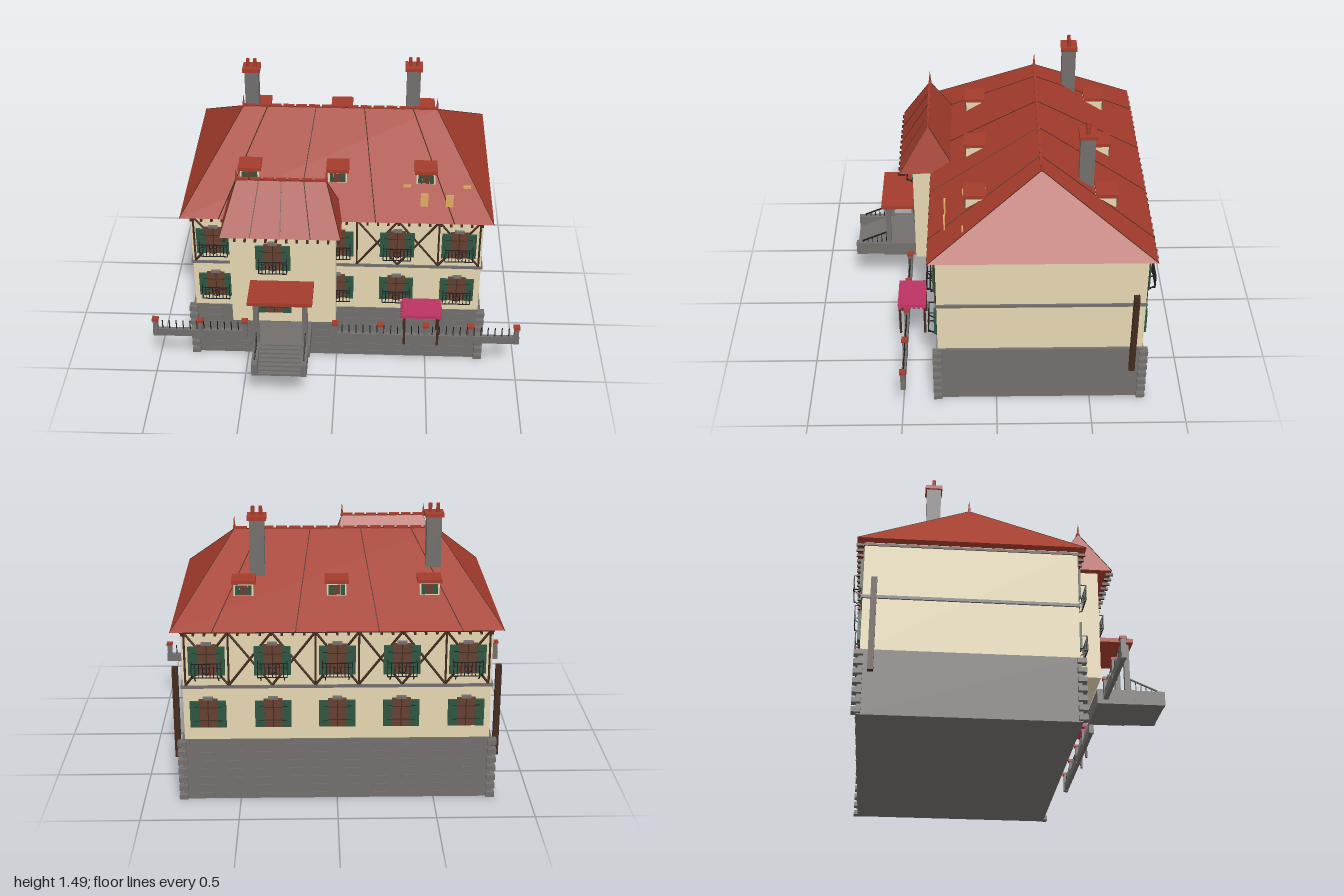
import * as THREE from 'three';

const mat = (name, color) => Object.assign(new THREE.MeshStandardMaterial({ color }), { name });
const M = {
  red: mat('roofRed', 0xa33b2b), tan: mat('plaster', 0xe4d6b1), grey: mat('stone', 0x716e6c),
  brown: mat('darkTimber', 0x432a1d), green: mat('shutterGreen', 0x2f5541), pane: mat('windowBrown', 0x653f30),
  iron: mat('iron', 0x1f1e1e), pink: mat('awningPink', 0xbb3463), ochre: mat('ochre', 0xdfaa64),
};

const add = (parent, name, geo, m, x = 0, y = 0, z = 0) => {
  const mesh = new THREE.Mesh(geo, m);
  mesh.name = name;
  mesh.position.set(x, y, z);
  parent.add(mesh);
  return mesh;
};
// box given by its centre
const box = (p, name, m, w, h, d, x, y, z) => add(p, name, new THREE.BoxGeometry(w, h, d), m, x, y, z);
// box given by its limits
const span = (p, name, m, x0, x1, y0, y1, z0, z1) =>
  box(p, name, m, x1 - x0, y1 - y0, z1 - z0, (x0 + x1) / 2, (y0 + y1) / 2, (z0 + z1) / 2);
// square bar between two points, in the parent's own frame
const Z = new THREE.Vector3(0, 0, 1);
const bar = (p, name, m, a, b, t) => {
  const A = new THREE.Vector3(...a), B = new THREE.Vector3(...b), dir = B.clone().sub(A);
  const mesh = add(p, name, new THREE.BoxGeometry(t, t, dir.length()), m);
  mesh.position.copy(A).add(B).multiplyScalar(0.5);
  mesh.quaternion.setFromUnitVectors(Z, dir.normalize());
};
const group = (p, name, x = 0, y = 0, z = 0) => {
  const g = new THREE.Group();
  g.name = name;
  g.position.set(x, y, z);
  p.add(g);
  return g;
};

// hip roof with seams, hips, ridge caps and finials
function hipRoof(p, name, x0, x1, z0, z1, y0, r0, r1, rz, y1, seams, frontOnly) {
  const g = group(p, name);
  const a = [x0, y0, z1], b = [x1, y0, z1], c = [x1, y0, z0], d = [x0, y0, z0], e = [r0, y1, rz], f = [r1, y1, rz];
  const faces = [a, b, f, a, f, e, b, c, f, c, d, e, c, e, f, d, a, e, a, d, c, a, c, b];
  const geo = new THREE.BufferGeometry();
  geo.setAttribute('position', new THREE.Float32BufferAttribute(faces.flat(), 3));
  geo.computeVertexNormals();
  add(g, 'roofSlopes', geo, M.red);
  const mix = (u, v, t) => u + (v - u) * t;
  for (const t of seams) {
    bar(g, 'roofSeam', M.brown, [mix(x0, x1, t), y0, z1], [mix(r0, r1, t), y1, rz], 0.004);
    if (!frontOnly) bar(g, 'roofSeam', M.brown, [mix(x0, x1, t), y0, z0], [mix(r0, r1, t), y1, rz], 0.004);
  }
  [[a, e], [d, e], [b, f], [c, f]].forEach(([u, v]) => bar(g, 'hipEdge', M.brown, u, v, 0.003));
  const n = Math.round((r1 - r0) / 0.07);
  bar(g, 'ridge', M.brown, e, f, 0.005);
  for (let i = 0; i < n; i++)
    bar(g, 'ridgeCap', M.red, [mix(r0, r1, (i + 0.08) / n), y1 + 0.005, rz], [mix(r0, r1, (i + 0.92) / n), y1 + 0.005, rz], 0.014);
  for (const x of [r0, r1]) add(g, 'finial', new THREE.CylinderGeometry(0.001, 0.008, 0.07, 8), M.red, x, y1 + 0.03, rz);
}

// wrought iron balcony, hung on a wall at z = 0, y = 0 at its floor
function balcony(p, y) {
  const g = group(p, 'balcony', 0, y, 0), w = 0.074, d = 0.047;
  for (const h of [0, 0.075]) {
    bar(g, 'rail', M.iron, [-w, h, d], [w, h, d], 0.004);
    for (const s of [-w, w]) bar(g, 'sideRail', M.iron, [s, h, 0], [s, h, d], 0.004);
  }
  for (let i = 0; i <= 8; i++) {
    const x = -w + (w * i) / 4;
    bar(g, 'baluster', M.iron, [x, 0, d], [x, 0.075, d], 0.004);
  }
  add(g, 'ornament', new THREE.TorusGeometry(0.018, 0.003, 5, 16), M.iron, 0, 0.038, d);
  for (const s of [-w + 0.015, w - 0.015]) bar(g, 'brace', M.iron, [s, 0, d], [s, -0.035, 0], 0.005);
}

// shuttered window on a wall facing +z
function windowUnit(p, x, y, z, h, withBalcony) {
  const g = group(p, 'window', x, y, z);
  box(g, 'pane', M.pane, 0.095, h, 0.012, 0, 0, 0.005);
  box(g, 'mullion', M.brown, 0.005, h, 0.004, 0, 0, 0.011);
  for (const t of [-0.25, 0.2]) box(g, 'transom', M.brown, 0.095, 0.004, 0.004, 0, h * t, 0.011);
  box(g, 'keystone', M.grey, 0.05, 0.014, 0.02, 0, h / 2 + 0.005, 0.006);
  for (const s of [-1, 1]) {
    box(g, 'shutter', M.green, 0.046, h - 0.012, 0.014, s * 0.069, -0.004, 0.01);
    for (const t of [-0.25, 0.25]) box(g, 'hinge', M.iron, 0.024, 0.003, 0.003, s * 0.06, h * t, 0.0165);
  }
  if (withBalcony) balcony(g, -h / 2 + 0.002);
}

// one long facade, wall face at local z = 0.54
function facade(root, name, turn, columns, upperOnly, cells) {
  const g = group(root, name, 0, 0, -0.23), W = 0.54, step = 1.53 / 7;
  g.rotation.y = turn;
  for (const x of columns) {
    windowUnit(g, x, 0.78, W, 0.165, true);
    windowUnit(g, x, 0.488, W, 0.155, !upperOnly);
  }
  // half timbering
  for (const i of cells) {
    const a = -0.765 + i * step, b = a + step, z = W + 0.001;
    bar(g, 'timberBrace', M.brown, [a, 0.64, z], [b, 0.925, z], 0.009);
    bar(g, 'timberBrace', M.brown, [a, 0.925, z], [b, 0.64, z], 0.009);
    for (const k of [i, i + 1]) if ([0, 1, 3, 4, 6, 7].includes(k))
      box(g, 'timberPost', M.brown, 0.01, 0.29, 0.01, -0.765 + k * step, 0.785, z);
  }
  for (let x = -0.77; x < 0.78; x += 0.055) box(g, 'rafterTail', M.brown, 0.012, 0.014, 0.045, x, 0.929, W + 0.02);
  // raised stones on the basement
  for (let r = 0; r < 7; r++)
    for (let c = 0; c < 10; c++)
      box(g, 'raisedStone', M.grey, 0.08, 0.016, 0.006, -0.675 + c * 0.15, 0.025 + r * 0.047, W + 0.006);
  // roof dormers
  for (const x of [-0.47, 0, 0.47]) {
    const d = group(g, 'dormer', x, 0, 0.23);
    span(d, 'dormerBody', M.tan, -0.05, 0.05, 1.03, 1.126, 0.04, 0.155);
    box(d, 'dormerRoof', M.red, 0.122, 0.02, 0.115, 0, 1.135, 0.108);
    box(d, 'dormerPane', M.pane, 0.04, 0.052, 0.006, 0, 1.092, 0.156);
    for (const s of [-1, 1]) box(d, 'dormerShutter', M.green, 0.021, 0.052, 0.008, s * 0.031, 1.092, 0.156);
  }
}

export function createModel() {
  const root = new THREE.Group();
  root.name = 'house';

  // main body
  span(root, 'basement', M.grey, -0.795, 0.795, 0, 0.34, -0.775, 0.315);
  span(root, 'walls', M.tan, -0.78, 0.78, 0.34, 0.94, -0.77, 0.31);
  span(root, 'stringCourse', M.grey, -0.79, 0.79, 0.624, 0.64, -0.777, 0.317);
  span(root, 'eaveBeam', M.brown, -0.785, 0.785, 0.921, 0.935, -0.774, 0.314);
  for (const sx of [-1, 1]) for (const sz of [-1, 1]) for (let r = 0; r < 7; r++)
    box(root, 'quoin', M.grey, 0.045, 0.026, 0.045, sx * 0.795, 0.018 + r * 0.05, -0.23 + sz * 0.545);
  hipRoof(root, 'mainRoof', -0.83, 0.83, -0.808, 0.35, 0.94, -0.53, 0.53, -0.23, 1.3, [0.125, 0.375, 0.625, 0.875]);
  facade(root, 'frontFacade', 0, [-0.66, 0, 0.325, 0.655], false, [0, 4, 5, 6]);
  facade(root, 'backFacade', Math.PI, [-0.655, -0.325, 0, 0.325, 0.655], true, [0, 1, 2, 3, 4, 5, 6]);

  // front wing
  span(root, 'wingWalls', M.tan, -0.56, 0, 0.34, 0.94, 0.28, 0.45);
  hipRoof(root, 'wingRoof', -0.6, 0.03, 0.2, 0.52, 0.94, -0.515, -0.05, 0.36, 1.2, [0.25, 0.5, 0.75], true);
  windowUnit(root, -0.33, 0.78, 0.453, 0.165, true);
  windowUnit(root, -0.33, 0.488, 0.453, 0.155, false);
  for (let x = -0.575; x < 0.02; x += 0.054) box(root, 'wingRafterTail', M.brown, 0.012, 0.014, 0.04, x, 0.929, 0.509);

  // chimneys
  for (const [x, z] of [[-0.5, -0.422], [0.402, -0.465]]) {
    const c = group(root, 'chimney', x, 0, z);
    box(c, 'stack', M.grey, 0.076, 0.4, 0.076, 0, 1.225, 0);
    box(c, 'cap', M.red, 0.098, 0.02, 0.09, 0, 1.433, 0);
    for (const s of [-1, 1]) add(c, 'pot', new THREE.CylinderGeometry(0.01, 0.01, 0.05, 10), M.red, s * 0.02, 1.463, 0);
  }

  // small upright boards on the front roof
  for (const [x, z, top] of [[0.37, 0.17, 1.064], [0.69, 0.17, 1.064], [0.462, 0.263, 1.07], [0.595, 0.263, 1.065]])
    span(root, 'roofBoard', M.ochre, x - 0.02, x + 0.02, 0.99, top, z - 0.004, z + 0.004);

  // downpipes
  for (const s of [-1, 1]) box(root, 'downpipe', M.brown, 0.03, 0.5, 0.03, s * 0.822, 0.468, -0.715);

  // porch with steps
  const porch = group(root, 'porch');
  span(porch, 'landing', M.grey, -0.43, -0.13, 0.255, 0.335, 0.45, 0.645);
  for (let i = 0; i < 7; i++)
    span(porch, 'step', M.grey, -0.42, -0.14, 0.255, 0.327 - i * 0.01, 0.645 + i * 0.0225, 0.6675 + i * 0.0225);
  span(porch, 'canopy', M.red, -0.457, -0.115, 0.595, 0.617, 0.45, 0.645);
  for (const x of [-0.415, -0.155]) {
    box(porch, 'column', M.grey, 0.028, 0.262, 0.028, x, 0.464, 0.612);
    span(porch, 'stepCheek', M.grey, x - 0.016, x + 0.016, 0.255, 0.332, 0.645, 0.805);
    bar(porch, 'handrail', M.iron, [x, 0.405, 0.62], [x, 0.34, 0.77], 0.007);
    for (let i = 0; i < 6; i++) {
      const z = 0.63 + i * 0.027;
      bar(porch, 'handrailPost', M.iron, [x, 0.33, z], [x, 0.4 - i * 0.0115, z], 0.004);
    }
  }

  // garden fence, open in front of the steps
  const fence = group(root, 'fence', 0, 0, 0.485);
  for (const [a, b] of [[-1, -0.48], [-0.015, 1]]) span(fence, 'lowWall', M.grey, a, b, 0.255, 0.3, -0.011, 0.011);
  for (const x of [-0.983, -0.738, -0.495, 0, 0.245, 0.49, 0.735, 0.983]) {
    box(fence, 'fencePost', M.grey, 0.026, 0.105, 0.026, x, 0.307, 0);
    box(fence, 'postCap', M.red, 0.034, 0.014, 0.034, x, 0.363, 0);
  }
  for (const [a, n] of [[-0.983, 13], [0, 26]])
    for (let i = 1; i < n; i++) box(fence, 'picket', M.iron, 0.005, 0.06, 0.005, a + i * 0.0377, 0.325, 0);

  // garden awning
  const awning = group(root, 'awning', 0.464, 0, 0.45);
  box(awning, 'awningTop', M.pink, 0.206, 0.02, 0.15, 0, 0.45, 0);
  for (const s of [-1, 1]) {
    for (const t of [-1, 1]) box(awning, 'awningPost', M.brown, 0.012, 0.19, 0.012, s * 0.09, 0.35, t * 0.066);
    for (let i = 0; i < 6; i++) box(awning, 'awningFringe', M.pink, 0.01, 0.012, 0.014, s * 0.106, 0.442, -0.062 + i * 0.025);
  }
  return root;
}
